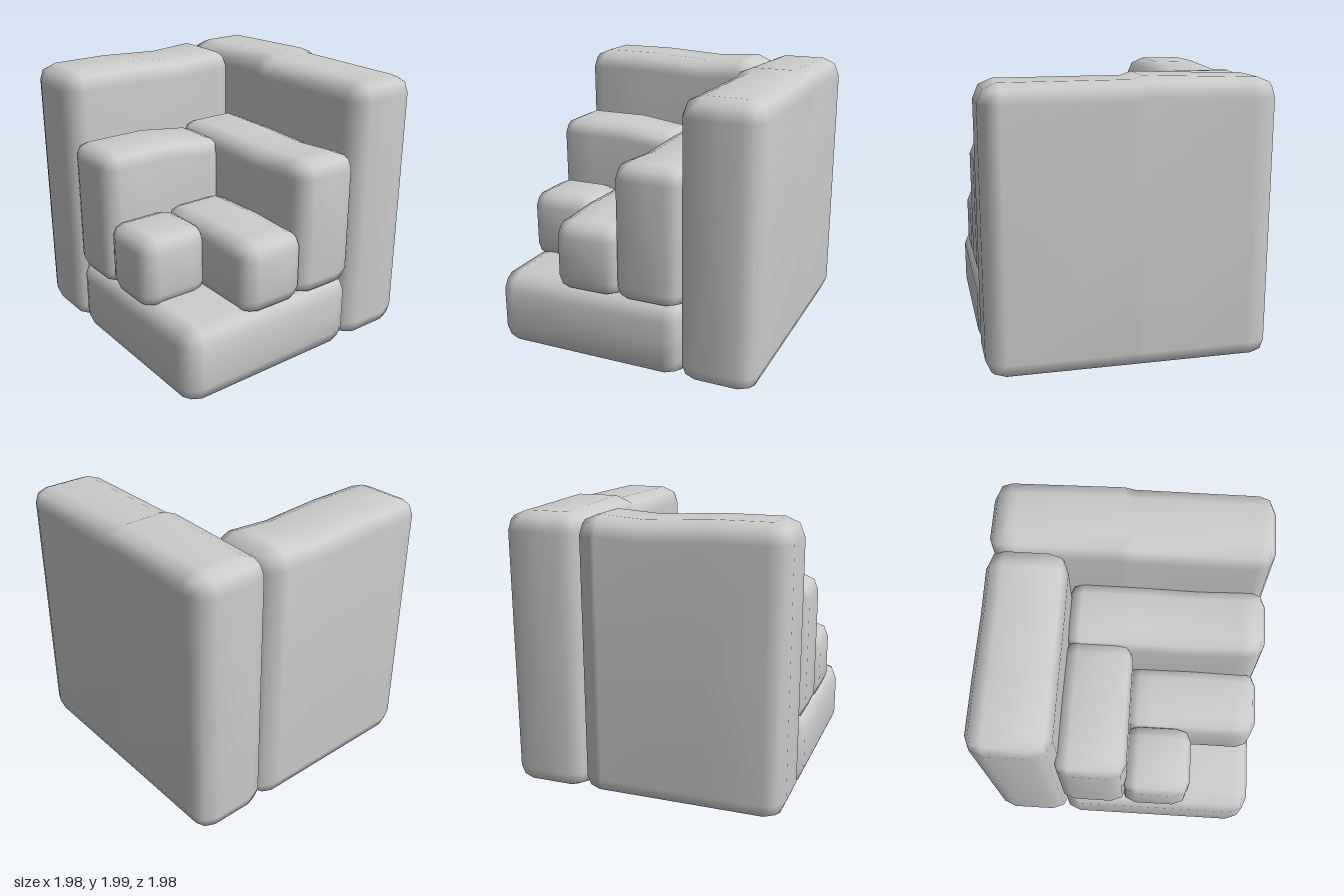
import * as THREE from 'three';
import { mergeVertices } from 'three/addons/utils/BufferGeometryUtils.js';

const AXES = ['x', 'y', 'z'];

// Piecewise linear height offset from [position, offset] knots
function sample(knots, t) {
  if (t <= knots[0][0]) return knots[0][1];
  for (let i = 1; i < knots.length; i++) {
    const [a, u] = knots[i - 1], [b, v] = knots[i];
    if (t <= b) return u + (v - u) * (t - a) / (b - a);
  }
  return knots[knots.length - 1][1];
}

// Soft-edged block between two corners; its top may undulate along one axis
function softBlock(min, max, r, axis, knots) {
  const lines = AXES.map((name, i) => {
    const mids = name === axis ? knots.map(k => k[0]) : [(min[i] + max[i]) / 2];
    return [min[i], min[i] + r, ...mids, max[i] - r, max[i]];
  });
  const n = lines.map(l => l.length - 1);
  const geo = new THREE.BoxGeometry(1, 1, 1, ...n);
  const pos = geo.attributes.position;
  const p = new THREE.Vector3(), core = new THREE.Vector3();
  const lo = new THREE.Vector3(...min).addScalar(r);
  const hi = new THREE.Vector3(...max).subScalar(r);
  for (let i = 0; i < pos.count; i++) {
    p.fromBufferAttribute(pos, i);
    AXES.forEach((a, k) => { p[a] = lines[k][Math.round((p[a] + 0.5) * n[k])]; });
    core.copy(p).clamp(lo, hi);
    p.sub(core).setLength(r).add(core);
    if (knots && p.y >= hi.y - 1e-6) p.y += sample(knots, p[axis]);
    pos.setXYZ(i, p.x, p.y, p.z);
  }
  geo.deleteAttribute('uv');
  geo.deleteAttribute('normal');
  const merged = mergeVertices(geo, 1e-4);
  merged.computeVertexNormals();
  return merged;
}

export function createModel() {
  const group = new THREE.Group();
  const material = new THREE.MeshStandardMaterial({ color: 0xcccccc });

  const add = (name, ...args) => {
    const mesh = new THREE.Mesh(softBlock(...args), material);
    mesh.name = name;
    group.add(mesh);
  };

  // Outer shell: back wall, side wall and floor slab
  add('backWall', [-0.985, 0, -0.99], [0.995, 1.965, -0.425], 0.13,
    'x', [[-0.8, 0], [-0.07, 0.025], [0, 0]]);
  add('sideWall', [-0.985, 0, -0.46], [-0.42, 1.965, 0.985], 0.13,
    'z', [[-0.3, -0.005], [0, -0.025], [0.45, 0]]);
  add('floorSlab', [-0.45, 0, -0.46], [0.995, 0.56, 0.985], 0.13);

  // Middle step: rear and side blocks
  add('middleRearBlock', [-0.45, 0.51, -0.46], [0.99, 1.495, 0.045], 0.11,
    'x', [[0.05, -0.01], [0.5, -0.025], [0.8, -0.002]]);
  add('middleSideBlock', [-0.455, 0.505, -0.02], [0.05, 1.495, 0.985], 0.11,
    'z', [[0.12, -0.045], [0.45, 0], [0.7, 0]]);

  // Inner step: rear block and small cube
  add('innerRearBlock', [0.0, 0.51, 0.0], [0.99, 1.035, 0.505], 0.11,
    'x', [[0.2, 0], [0.5, 0.01], [0.8, -0.005]]);
  add('smallCube', [0.015, 0.505, 0.465], [0.515, 1.03, 0.985], 0.11);

  return group;
}
